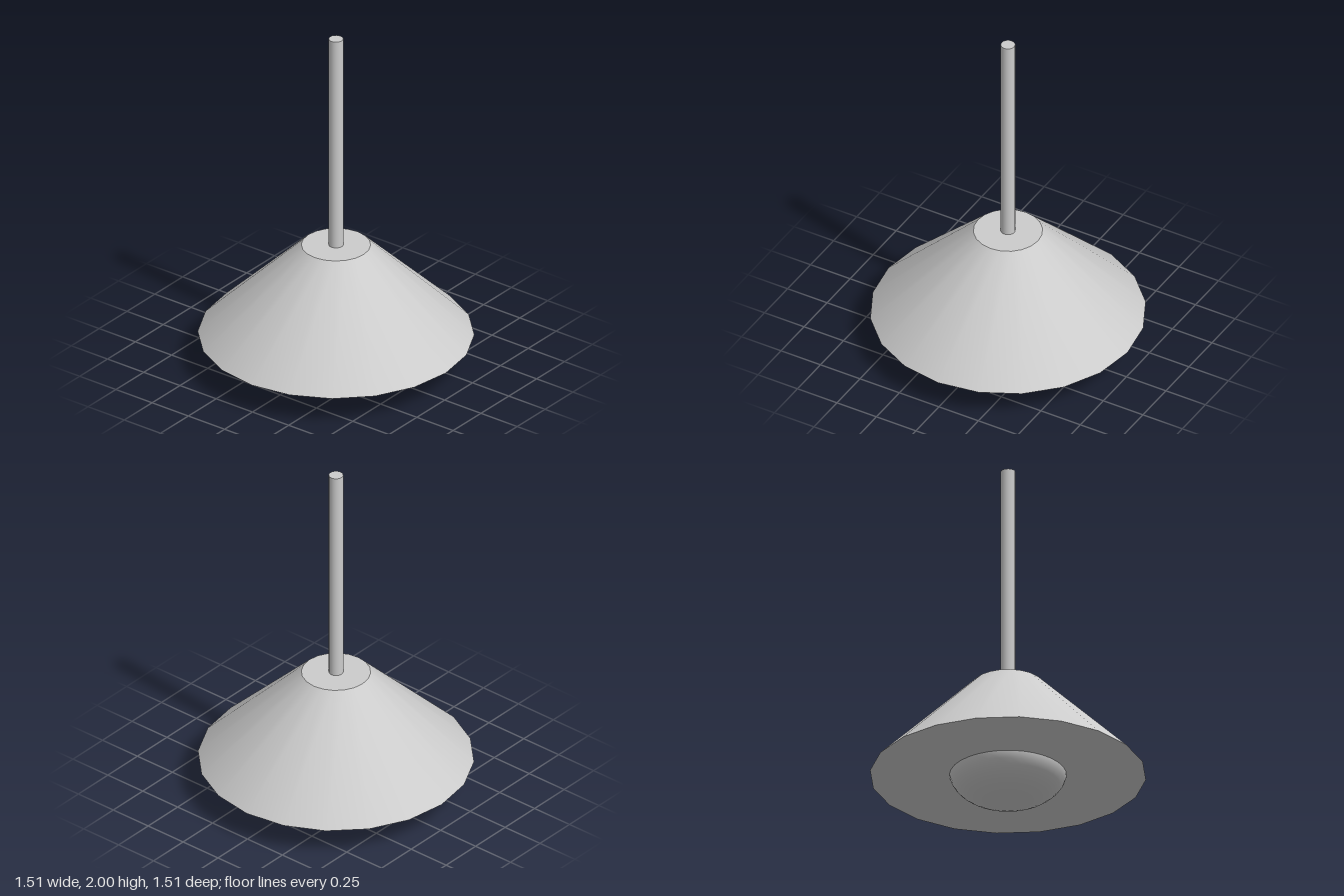
import * as THREE from 'three';

export function createModel() {
  const group = new THREE.Group();
  const material = new THREE.MeshStandardMaterial({ color: 0xcccccc });

  const add = (name, geometry, y) => {
    const mesh = new THREE.Mesh(geometry, material);
    mesh.name = name;
    mesh.position.y = y;
    group.add(mesh);
    return mesh;
  };

  // Hanging rod, from the shade top upward
  add('rod', new THREE.CylinderGeometry(0.04, 0.04, 1.28, 20), 1.36);

  // Closed conical shade with 20 sides
  add('shade', new THREE.CylinderGeometry(0.19, 0.757, 0.55, 20), 0.445);

  // Flattened bulb showing below the shade
  add('bulb', new THREE.SphereGeometry(0.323, 32, 20), 0.19).scale.y = 0.19 / 0.323;

  return group;
}
